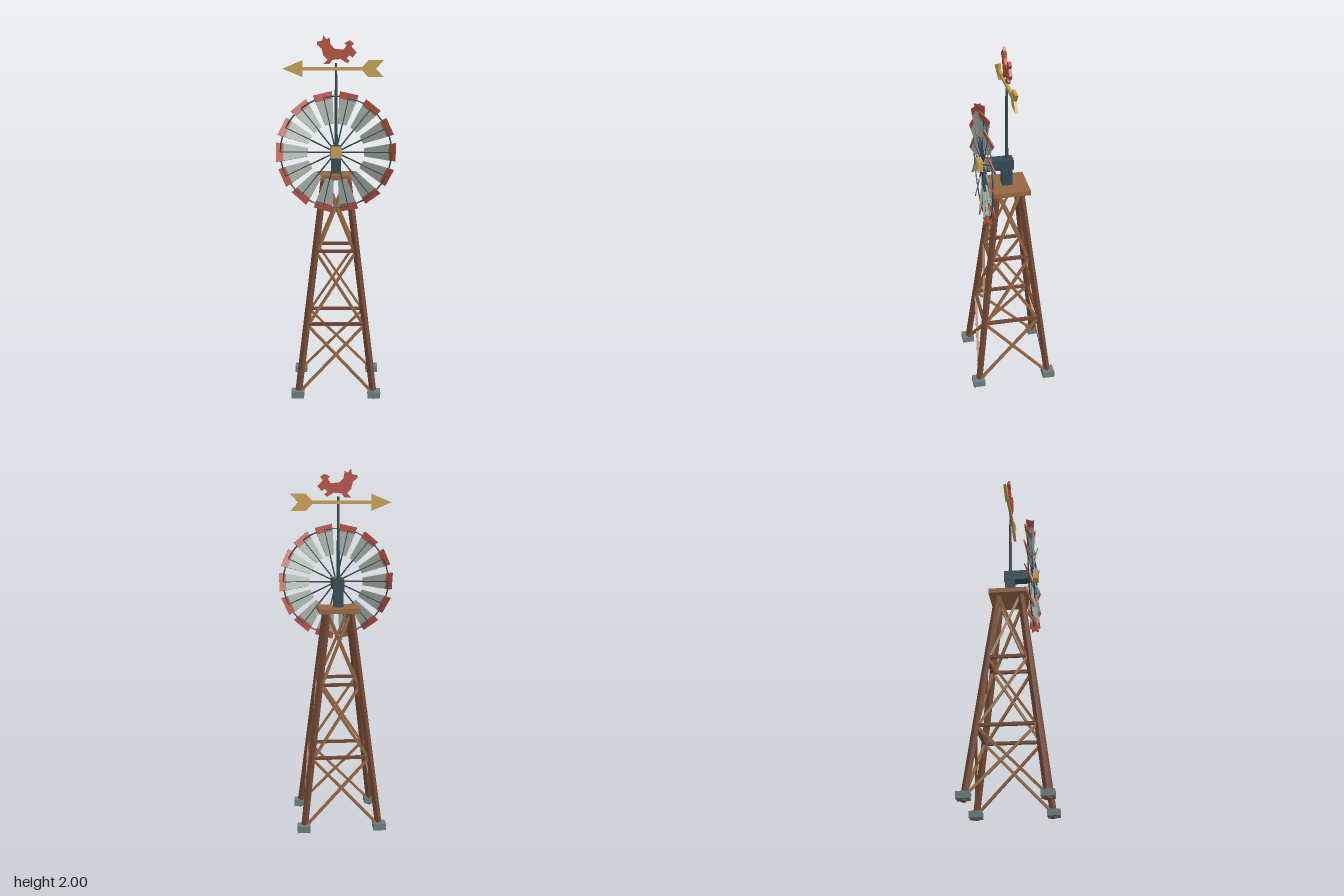
import * as THREE from 'three';

const mat = (name, color) => {
  const m = new THREE.MeshStandardMaterial({ color });
  m.name = name;
  return m;
};

export function createModel() {
  const darkWood = mat('darkWood', 0x744936);
  const lightWood = mat('lightWood', 0x966743);
  const stone = mat('footingStone', 0x6a7e7b);
  const slate = mat('darkMetal', 0x344a55);
  const steel = mat('bladeSteel', 0xa2aea5);
  const red = mat('redPaint', 0xb3503f);
  const gold = mat('goldPaint', 0xc6a051);

  const model = new THREE.Group();
  model.name = 'windmill';

  const add = (parent, name, geometry, material, x = 0, y = 0, z = 0) => {
    const mesh = new THREE.Mesh(geometry, material);
    mesh.name = name;
    mesh.position.set(x, y, z);
    parent.add(mesh);
    return mesh;
  };
  const box = (parent, name, w, h, d, material, x, y, z) =>
    add(parent, name, new THREE.BoxGeometry(w, h, d), material, x, y, z);

  // square beam running from point a to point b
  const beam = (parent, name, a, b, size, material) => {
    const from = new THREE.Vector3(...a), to = new THREE.Vector3(...b);
    const mesh = new THREE.Mesh(new THREE.BoxGeometry(size, size, from.distanceTo(to)), material);
    mesh.name = name;
    mesh.position.copy(from).add(to).multiplyScalar(0.5);
    mesh.lookAt(to);
    parent.add(mesh);
  };

  // flat plate centred on z = 0 from outline points
  const plate = (points, depth) => {
    const shape = new THREE.Shape(points.map(([x, y]) => new THREE.Vector2(x, y)));
    return new THREE.ExtrudeGeometry(shape, { depth, bevelEnabled: false }).translate(0, 0, -depth / 2);
  };

  // tower: legs lean inwards, half-spread as a function of height
  const spread = (y) => 0.212 - 0.12 * y;
  const tower = new THREE.Group();
  tower.name = 'tower';
  model.add(tower);
  for (const sx of [-1, 1]) {
    for (const sz of [-1, 1]) {
      const lo = spread(0.002), hi = spread(1.225);
      beam(tower, 'leg', [sx * lo, 0.002, sz * lo], [sx * hi, 1.225, sz * hi], 0.027);
      tower.children.at(-1).material = darkWood;
      box(tower, 'footing', 0.07, 0.036, 0.07, stone, sx * 0.212, 0.03, sz * 0.212);
    }
  }

  // cross bracing repeated on the four sides
  const levels = [0.04, 0.415, 0.82, 1.22];
  for (let side = 0; side < 4; side++) {
    const face = new THREE.Group();
    face.name = 'sideBracing';
    face.rotation.y = side * Math.PI / 2;
    for (let i = 0; i < 3; i++) {
      const y0 = levels[i] + 0.005, y1 = levels[i + 1] - 0.005;
      const s0 = spread(y0), s1 = spread(y1);
      for (const s of [-1, 1]) {
        beam(face, 'diagonalBrace', [-s * (s0 - 0.014), y0, s0], [s * (s1 - 0.004), y1, s1], 0.014, lightWood);
      }
      if (i > 0) {
        const w = spread(levels[i]);
        beam(face, 'horizontalBrace', [-w, levels[i], w], [w, levels[i], w], 0.017, darkWood);
      }
    }
    tower.add(face);
  }
  box(tower, 'platform', 0.226, 0.027, 0.226, lightWood, 0, 1.23, 0);

  // gearbox on its post
  box(model, 'headPost', 0.055, 0.11, 0.055, slate, 0, 1.295, 0);
  box(model, 'gearbox', 0.062, 0.058, 0.15, slate, 0, 1.369, 0.041);

  // wind wheel
  const wheel = new THREE.Group();
  wheel.name = 'windWheel';
  wheel.position.set(0, 1.372, 0.131);
  model.add(wheel);
  box(wheel, 'hub', 0.06, 0.06, 0.05, gold, 0, 0, 0.008);
  add(wheel, 'outerRing', new THREE.TorusGeometry(0.302, 0.004, 6, 42), slate);
  const bladeGeo = plate([[0.153, -0.024], [0.286, -0.049], [0.286, 0.049], [0.153, 0.024]], 0.006);
  const tipGeo = plate([[0.286, -0.049], [0.325, -0.054], [0.325, 0.054], [0.286, 0.049]], 0.006);
  const spokeGeo = new THREE.CylinderGeometry(0.0045, 0.0045, 0.29, 6).rotateZ(Math.PI / 2);
  const BLADES = 14;
  for (let i = 0; i < BLADES; i++) {
    const arm = new THREE.Group();
    arm.name = 'wheelArm';
    arm.rotation.z = i * 2 * Math.PI / BLADES;
    add(arm, 'spoke', spokeGeo, slate, 0.155);
    add(arm, 'blade', bladeGeo, steel).rotation.x = 0.36;
    add(arm, 'bladeTip', tipGeo, red).rotation.x = 0.36;
    wheel.add(arm);
  }

  // weather vane
  const vane = new THREE.Group();
  vane.name = 'weatherVane';
  model.add(vane);
  add(vane, 'vanePole', new THREE.CylinderGeometry(0.006, 0.01, 0.46, 8), slate, 0, 1.62, 0);
  box(vane, 'arrowShaft', 0.36, 0.02, 0.015, gold, -0.01, 1.82, 0);
  add(vane, 'arrowHead', plate([[-0.295, 0], [-0.185, -0.046], [-0.185, 0.046]], 0.016), gold, 0, 1.82, 0);
  add(vane, 'arrowTail', plate([
    [0.135, 0], [0.178, -0.046], [0.262, -0.046], [0.22, 0], [0.262, 0.046], [0.178, 0.046],
  ], 0.016), gold, 0, 1.82, 0);

  // animal figure on top
  add(vane, 'animalFigure', plate([
    [-0.105, 1.965], [-0.075, 1.972], [-0.07, 2.0], [-0.052, 1.978], [-0.036, 1.988], [-0.03, 1.95],
    [-0.008, 1.928], [0.04, 1.922], [0.058, 1.945], [0.045, 1.958], [0.075, 1.973], [0.098, 1.957],
    [0.084, 1.938], [0.113, 1.908], [0.09, 1.88], [0.075, 1.892], [0.058, 1.878], [0.075, 1.862],
    [0.062, 1.85], [0.025, 1.872], [-0.02, 1.868], [-0.036, 1.846], [-0.07, 1.846], [-0.048, 1.868],
    [-0.07, 1.892], [-0.08, 1.93], [-0.105, 1.95],
  ], 0.016), red);

  return model;
}
